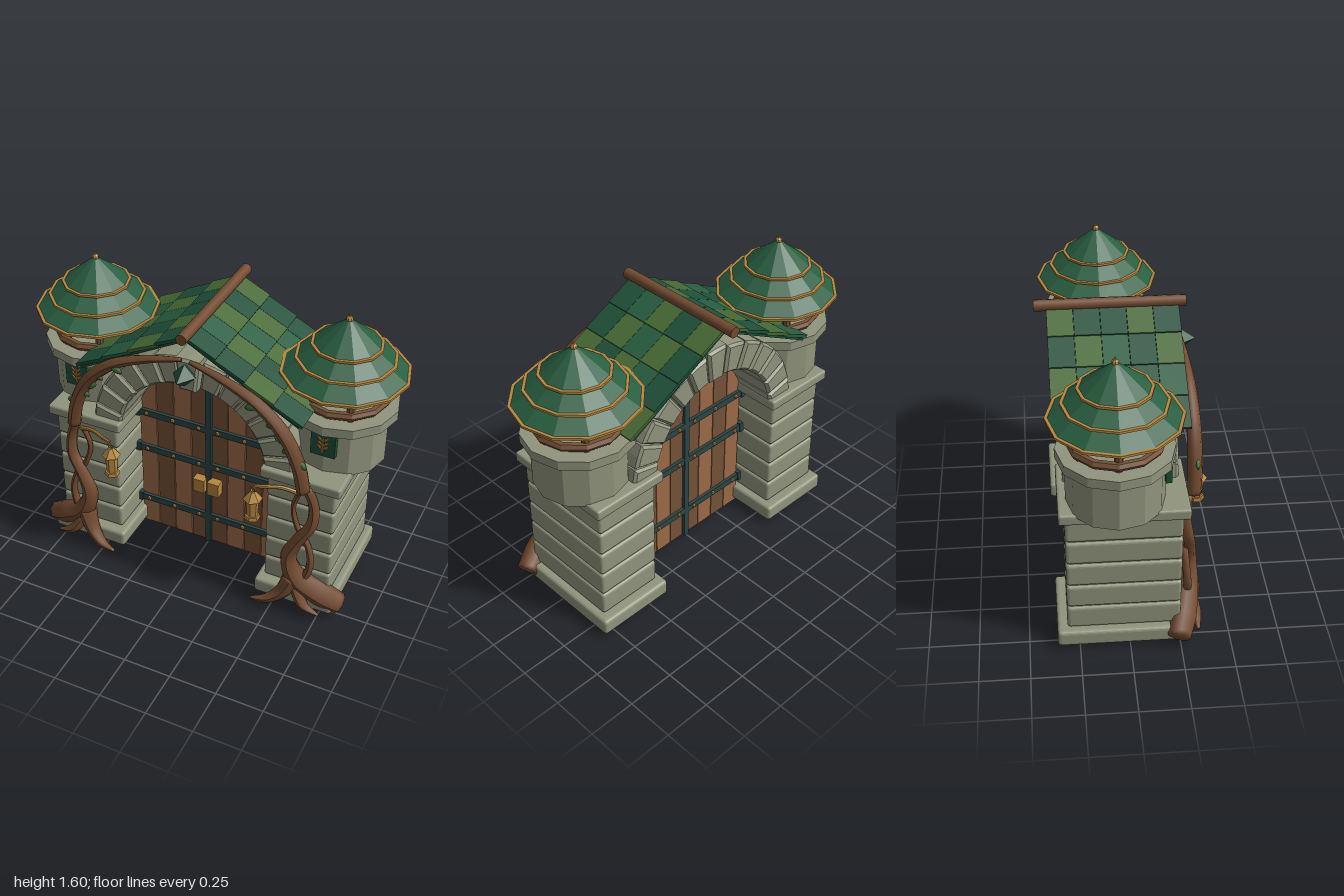
import * as THREE from 'three';
import { RoundedBoxGeometry } from 'three/addons/geometries/RoundedBoxGeometry.js';

const mat = (name, color, flatShading = false) => {
  const m = new THREE.MeshStandardMaterial({ color, flatShading });
  m.name = name;
  return m;
};

export function createModel() {
  const stone = mat('stone', 0x91957d, true);
  const lightWood = mat('lightWood', 0x9c6b49, true);
  const darkWood = mat('darkWood', 0x755237, true);
  const bark = mat('bark', 0x734b30);
  const roofGreen = mat('roofGreen', 0x285e40, true);
  const deepGreen = mat('deepGreen', 0x1f5039, true);
  const oliveGreen = mat('oliveGreen', 0x476a34, true);
  const leafGreen = mat('leafGreen', 0x3d6a36);
  const gold = mat('gold', 0xb5863f, true);
  const iron = mat('iron', 0x2b4644, true);

  const gate = new THREE.Group();
  gate.name = 'gatehouse';

  const add = (name, geo, material, x = 0, y = 0, z = 0, parent = gate) => {
    const m = new THREE.Mesh(geo, material);
    m.name = name;
    m.position.set(x, y, z);
    parent.add(m);
    return m;
  };
  const box = (w, h, d) => new THREE.BoxGeometry(w, h, d);
  const cyl = (top, bottom, h, n = 12) => new THREE.CylinderGeometry(top, bottom, h, n);

  // Tapered branch; the end rings fold inward to make flat caps
  const branch = (name, points, radii, material = bark, n = 40) => {
    const curve = new THREE.CatmullRomCurve3(points.map(p => new THREE.Vector3(...p)));
    const geo = new THREE.TubeGeometry(curve, n, 1, 8, false);
    const pos = geo.attributes.position, v = new THREE.Vector3();
    for (let i = 0; i <= n; i++) {
      const c = curve.getPointAt(i / n);
      const f = (i / n) * (radii.length - 1), k = Math.min(Math.floor(f), radii.length - 2);
      const r = THREE.MathUtils.lerp(radii[k], radii[k + 1], f - k);
      const cap = i === 0 || i === n;
      const inner = cap ? curve.getPointAt(i === 0 ? 1 / n : 1 - 1 / n) : c;
      for (let j = 0; j <= 8; j++) {
        const q = i * 9 + j;
        v.fromBufferAttribute(pos, q).sub(c).multiplyScalar(cap ? 0.001 : r).add(inner);
        pos.setXYZ(q, v.x, v.y, v.z);
      }
    }
    geo.computeVertexNormals();
    return add(name, geo, material);
  };

  for (const s of [1, -1]) {
    // Stone pillar
    const px = s * 0.602;
    add('pillarBase', new RoundedBoxGeometry(0.43, 0.09, 0.66, 2, 0.018), stone, px, 0.067, -0.03);
    add('pillarCore', box(0.33, 0.7, 0.53), stone, px, 0.45, -0.03);
    for (let i = 0; i < 5; i++)
      add('pillarCourse', new RoundedBoxGeometry(0.36, 0.128, 0.56, 2, 0.016), stone, px, 0.178 + i * 0.135, -0.03);
    add('pillarCap', new RoundedBoxGeometry(0.42, 0.058, 0.62, 2, 0.012), stone, px, 0.81, -0.03);

    // Round turret
    const turret = new THREE.Group();
    turret.name = 'turret';
    turret.position.set(s * 0.677, 0, -0.065);
    gate.add(turret);
    const put = (name, geo, m, x, y, z) => add(name, geo, m, x, y, z, turret);
    put('turretDrum', cyl(0.236, 0.236, 0.26), stone, 0, 0.955, 0);
    put('turretRim', cyl(0.28, 0.28, 0.05), stone, 0, 1.106, 0);
    put('turretRail', new THREE.TorusGeometry(0.213, 0.022, 6, 12).rotateX(Math.PI / 2), darkWood, 0, 1.165, 0);
    for (let i = 0; i < 6; i++) {
      const a = i * Math.PI / 3;
      put('turretPost', cyl(0.021, 0.021, 0.18, 8), darkWood, 0.19 * Math.cos(a), 1.21, 0.19 * Math.sin(a));
    }
    for (const [r, top, y, h] of [[0.317, 0.18, 1.295, 0.085], [0.247, 0.12, 1.372, 0.085], [0.174, 0.006, 1.445, 0.13]]) {
      put('roofTier', cyl(top, r - 0.008, h), roofGreen, 0, y + h / 2, 0);
      put('roofTrim', cyl(r + 0.003, r + 0.003, 0.012), gold, 0, y - 0.003, 0);
    }
    put('roofFinial', new THREE.SphereGeometry(0.018, 8, 6), gold, 0, 1.572, 0);
    put('finialTip', new THREE.ConeGeometry(0.012, 0.03, 8), gold, 0, 1.588, 0);

    // Leaf plaque
    put('plaque', box(0.125, 0.135, 0.03), deepGreen, 0, 1.015, 0.242);
    put('plaqueStem', box(0.007, 0.085, 0.008), gold, 0, 1.01, 0.26);
    for (let i = 0; i < 3; i++) for (const t of [1, -1]) {
      const leaf = put('plaqueLeaf', new THREE.SphereGeometry(1, 6, 4), gold, t * 0.016, 1.0 + i * 0.024, 0.26);
      leaf.scale.set(0.008, 0.017, 0.004);
      leaf.rotation.z = -t * 0.75;
    }

    // Tiled gable slope
    const slope = new THREE.Group();
    slope.name = 'roofSlope';
    slope.position.set(0, 1.483, 0);
    slope.rotation.set(0, s > 0 ? 0 : Math.PI, -s * 0.503);
    if (s < 0) slope.rotation.set(0, Math.PI, -0.503, 'YXZ');
    gate.add(slope);
    add('roofBoard', box(0.67, 0.012, 0.63), deepGreen, 0.34, -0.012, -0.03 * s, slope);
    for (let i = 0; i < 4; i++) for (let j = 0; j < 5; j++) {
      const m = (i * 2 + j * 3 + (s > 0 ? 0 : 1)) % 5 < 2 ? oliveGreen : (i + j) % 3 ? deepGreen : roofGreen;
      const tile = add('roofTile', box(0.176, 0.016, 0.1275), m,
        0.086 + i * 0.1715, 0.004, s * (-0.287 + j * 0.129 + 0.001), slope);
      tile.rotation.z = 0.05;
    }

    // Main vine trunk, twisting shoot, roots and arch vine
    branch('vineTrunk', [[s * 0.86, 0.055, 0.23], [s * 0.74, 0.13, 0.27], [s * 0.62, 0.22, 0.3], [s * 0.575, 0.35, 0.305],
      [s * 0.62, 0.47, 0.3], [s * 0.68, 0.58, 0.285], [s * 0.68, 0.69, 0.27], [s * 0.635, 0.82, 0.28]],
      [0.055, 0.066, 0.058, 0.045, 0.034, 0.03, 0.027, 0.026]);
    branch('vineShoot', [[s * 0.62, 0.14, 0.3], [s * 0.685, 0.3, 0.29], [s * 0.67, 0.42, 0.28], [s * 0.6, 0.54, 0.275],
      [s * 0.575, 0.65, 0.27], [s * 0.61, 0.77, 0.28]], [0.024, 0.02, 0.017, 0.014, 0.013]);
    branch('frontRoot', [[s * 0.61, 0.23, 0.3], [s * 0.56, 0.12, 0.33], [s * 0.49, 0.065, 0.36], [s * 0.39, 0.05, 0.385]],
      [0.055, 0.042, 0.028, 0.005], bark, 20);
    branch('sideRoot', [[s * 0.62, 0.17, 0.31], [s * 0.68, 0.08, 0.34], [s * 0.78, 0.04, 0.345]],
      [0.035, 0.028, 0.005], bark, 16);
    branch('archVine', [[s * 0.64, 0.78, 0.31], [s * 0.605, 0.95, 0.315], [s * 0.525, 1.11, 0.315], [s * 0.39, 1.235, 0.31],
      [s * 0.2, 1.315, 0.3], [0, 1.36, 0.285]], [0.036, 0.037, 0.034, 0.029, 0.021, 0.01]);
    [[0.62, 0.97], [0.555, 1.03], [0.51, 1.085], [0.47, 1.155], [0.42, 1.205], [0.36, 1.225]].forEach(([x, y], i) => {
      const leaf = add('vineLeaf', new THREE.SphereGeometry(1, 6, 5), leafGreen, s * x, y, 0.325);
      leaf.scale.set(0.038, 0.02, 0.014);
      leaf.rotation.z = s * (i % 2 ? 0.5 : -0.6);
    });

    // Hanging lantern
    const lantern = new THREE.Group();
    lantern.name = 'lantern';
    lantern.position.set(s * 0.395, 0, 0.362);
    gate.add(lantern);
    add('lanternBase', cyl(0.036, 0.04, 0.02, 6), gold, 0, 0.595, 0, lantern);
    add('lanternBody', cyl(0.033, 0.027, 0.11, 6), gold, 0, 0.655, 0, lantern);
    add('lanternRoof', cyl(0.014, 0.05, 0.045, 6), gold, 0, 0.73, 0, lantern);
    add('lanternRing', new THREE.TorusGeometry(0.014, 0.005, 6, 10), gold, 0, 0.768, 0, lantern);
    branch('lanternArm', [[s * 0.63, 0.75, 0.28], [s * 0.53, 0.785, 0.31], [s * 0.45, 0.79, 0.345], [s * 0.385, 0.786, 0.365]],
      [0.013, 0.011, 0.009], gold, 14);

    // Door leaf: planks with tops following the arch
    const topAt = x => 0.70 + 0.40 * Math.sqrt(1 - (x / 0.43) ** 2);
    for (let i = 0; i < 4; i++) {
      const a = 0.006 + i * 0.101, b = a + 0.097;
      const shape = new THREE.Shape([[a, 0.003], [b, 0.003], [b, topAt(b)], [(a + b) / 2, topAt((a + b) / 2)], [a, topAt(a)]]
        .map(([x, y]) => new THREE.Vector2(s * x, y)));
      add('doorPlank', new THREE.ExtrudeGeometry(shape, { depth: 0.11, bevelEnabled: false }),
        i % 2 ? lightWood : darkWood, 0, 0, -0.085);
    }
    // Iron straps and studs on both faces
    for (const y of [0.185, 0.535, 0.77]) for (const f of [1, -1]) {
      const z = -0.03 + f * 0.063;
      add('doorStrap', box(0.4, 0.038, 0.018), iron, s * 0.215, y, z);
      add('strapHinge', box(0.03, 0.055, 0.028), iron, s * 0.415, y, z);
      for (const x of [0.055, 0.205, 0.36])
        add('strapStud', new THREE.SphereGeometry(0.012, 6, 4), gold, s * x, y, z + f * 0.01);
    }
    add('doorLock', box(0.066, 0.082, 0.05), gold, s * 0.042, 0.41, 0.05);
  }
  add('doorCentreBar', box(0.032, 1.09, 0.145), iron, 0, 0.55, -0.03);

  // Arch stones and keystone
  const count = 13, step = Math.PI / count;
  for (let i = 0; i < count; i++) {
    const key = i === 6, a = i * step + 0.008, b = (i + 1) * step - 0.008;
    const r0 = key ? 0.39 : 0.4, r1 = key ? 0.57 : 0.557, depth = key ? 0.56 : 0.53;
    const shape = new THREE.Shape([[r0, a], [r1, a], [r1, (a + b) / 2], [r1, b], [r0, b], [r0, (a + b) / 2]]
      .map(([r, t]) => new THREE.Vector2(r * Math.cos(t), r * Math.sin(t))));
    add(key ? 'keystone' : 'archStone', new THREE.ExtrudeGeometry(shape,
      { depth, bevelSize: 0.013, bevelThickness: 0.013, bevelOffset: -0.013, bevelSegments: 1 }),
      stone, 0, 0.78, -0.296);
  }
  add('keystoneGem', new THREE.OctahedronGeometry(1), deepGreen, 0, 1.28, 0.3).scale.set(0.06, 0.062, 0.085);

  // Ridge log
  add('ridgeLog', cyl(0.029, 0.029, 0.74, 10).rotateX(Math.PI / 2), bark, 0, 1.495, -0.04);
  return gate;
}
